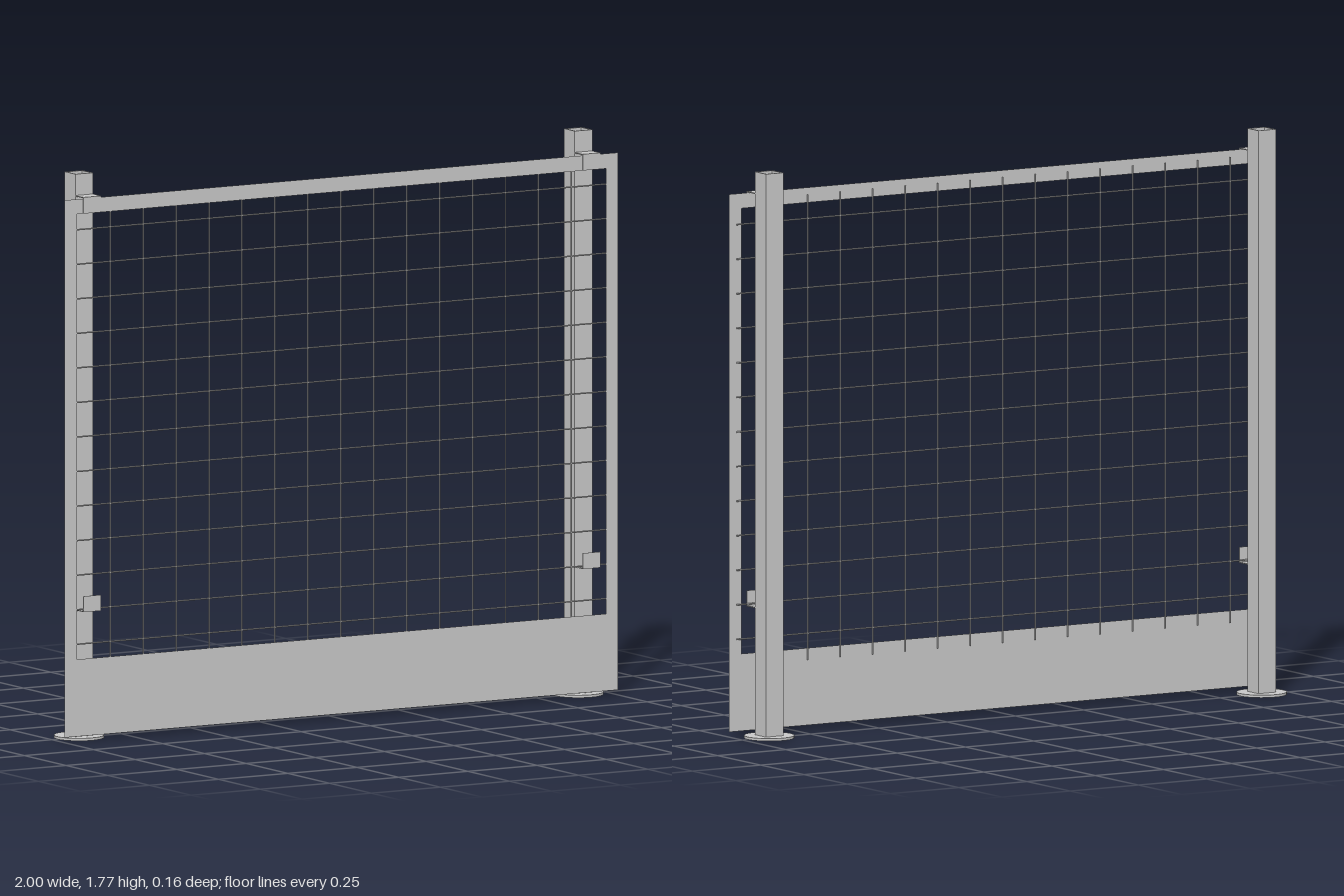
import * as THREE from 'three';

export function createModel() {
  const model = new THREE.Group();
  model.name = 'meshFencePanel';

  const steel = new THREE.MeshStandardMaterial({ color: 0xc8c8c8, side: THREE.DoubleSide });
  steel.name = 'light grey steel';

  const add = (name, geometry, x, y, z, parent = model) => {
    const mesh = new THREE.Mesh(geometry, steel);
    mesh.name = name;
    mesh.position.set(x, y, z);
    parent.add(mesh);
    return mesh;
  };

  const rect = (path, x0, y0, x1, y1) => {
    path.moveTo(x0, y0);
    path.lineTo(x1, y0);
    path.lineTo(x1, y1);
    path.lineTo(x0, y1);
    path.closePath();
    return path;
  };

  // Sheet frame with a deep kick plate along the bottom
  const sheet = rect(new THREE.Shape(), -1, 0.016, 1, 1.696);
  sheet.holes.push(rect(new THREE.Path(), -0.955, 0.257, 0.955, 1.649));
  add('panelFrame', new THREE.ShapeGeometry(sheet), 0, 0, 0.077);

  // Welded wire mesh, overlapping the back of the frame
  const mesh = new THREE.Group();
  mesh.name = 'wireMesh';
  model.add(mesh);
  const wireRadius = 0.0023, wireZ = 0.073;
  const upright = new THREE.CylinderGeometry(wireRadius, wireRadius, 1.455, 8);
  const crosswise = new THREE.CylinderGeometry(wireRadius, wireRadius, 1.95, 8).rotateZ(Math.PI / 2);
  for (let i = -7; i <= 7; i++) add('verticalWire', upright, i * 0.119, 0.9475, wireZ, mesh);
  for (let i = 0; i < 13; i++) add('horizontalWire', crosswise, 0, 0.304 + i * 0.108, wireZ, mesh);

  // Square tube, open at the top
  const half = 0.032, inner = 0.027;
  const section = rect(new THREE.Shape(), -half, -half, half, half);
  section.holes.push(rect(new THREE.Path(), -inner, -inner, inner, inner));
  const tube = new THREE.ExtrudeGeometry(section, { depth: 1.759, bevelEnabled: false }).rotateX(-Math.PI / 2);

  const foot = new THREE.CylinderGeometry(0.078, 0.078, 0.008, 32);
  const shelf = new THREE.BoxGeometry(0.064, 0.003, 0.05);
  const lip = new THREE.BoxGeometry(0.064, 0.048, 0.002);

  for (const [side, sign] of [['left', 1], ['right', -1]]) {
    const x = sign * 0.902;
    add(side + 'Post', tube, x, 0.008, 0);
    add(side + 'FootPlate', foot, x, 0.004, 0);
    // Upper hook folds down over the frame, lower hook folds up
    add(side + 'UpperBracketShelf', shelf, x, 1.699, 0.055);
    add(side + 'UpperBracketLip', lip, x, 1.676, 0.079);
    add(side + 'LowerBracketShelf', shelf, x, 0.405, 0.055);
    add(side + 'LowerBracketLip', lip, x, 0.429, 0.079);
  }

  return model;
}
